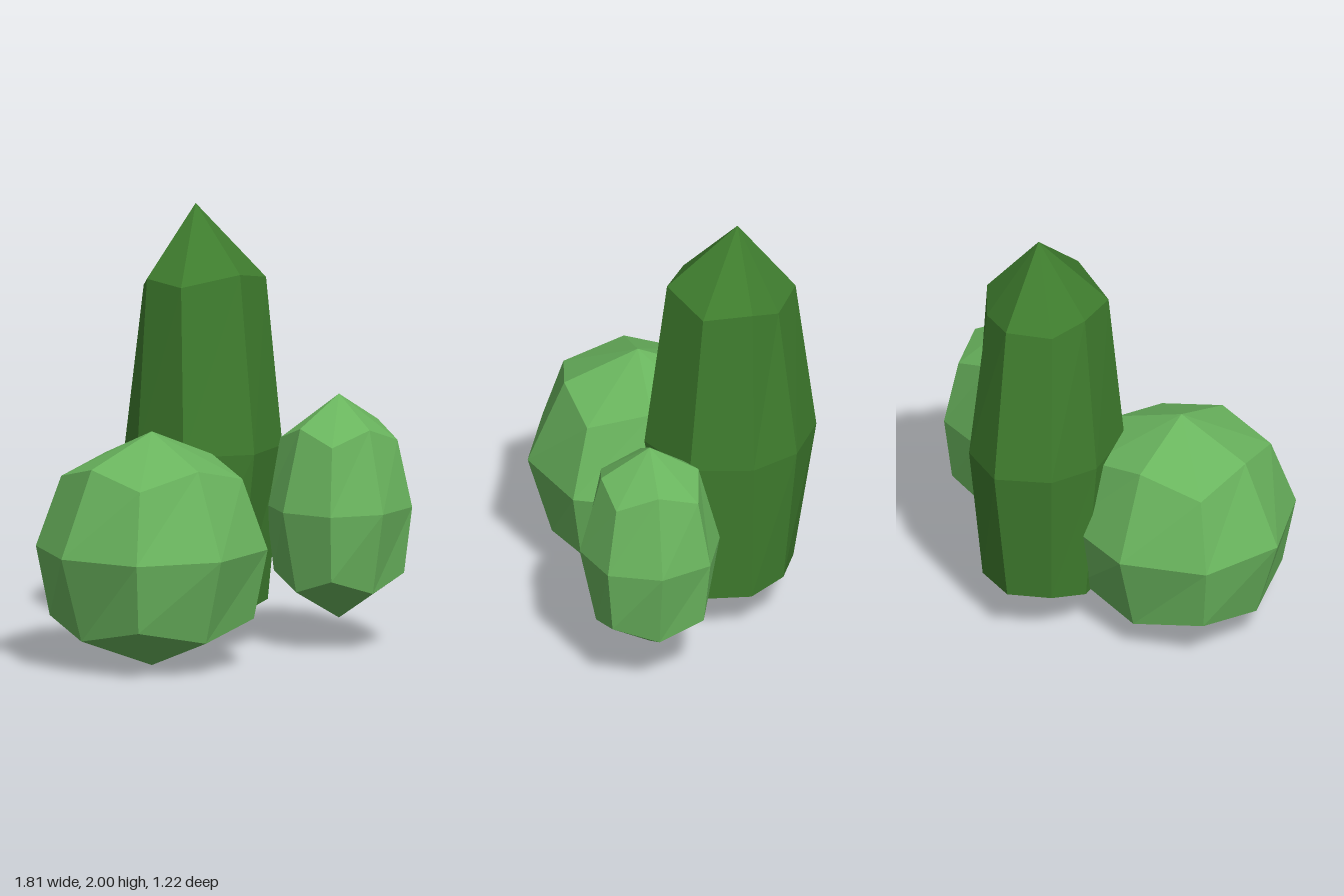
import * as THREE from 'three';

// Faceted body from three 8-point rings (bottom, middle, top) closed by two tips.
// Each ring starts at the front middle and runs towards +x.
function facetedBody(rings, bottomTip, topTip) {
  const pos = [];
  const quad = (a, b, c, d) => {
    for (const p of [a, b, c, a, c, d]) pos.push(...p);
  };
  for (let r = 0; r < 2; r++) {
    for (let i = 0; i < 8; i++) {
      const n = (i + 1) % 8;
      quad(rings[r][i], rings[r][n], rings[r + 1][n], rings[r + 1][i]);
    }
  }
  const [low, , high] = rings;
  for (let i = 1; i < 8; i += 2) {
    const n = (i + 1) % 8;
    quad(topTip, high[i - 1], high[i], high[n]);
    quad(bottomTip, low[n], low[i], low[i - 1]);
  }
  const geometry = new THREE.BufferGeometry();
  geometry.setAttribute('position', new THREE.Float32BufferAttribute(pos, 3));
  geometry.computeVertexNormals();
  return geometry;
}

// Five points from front middle to back middle, mirrored to a full ring
const mirrorRing = (half) => [
  ...half,
  ...[3, 2, 1].map((i) => [-half[i][0], half[i][1], half[i][2]]),
];

// Ring that is the same on all four sides: middle radius/height, corner offset/height
const evenRing = ([m, my, c, cy], depth) => mirrorRing([
  [0, my, m * depth], [c, cy, c * depth], [m, my, 0], [c, cy, -c * depth], [0, my, -m * depth],
]);

export function createModel() {
  const group = new THREE.Group();
  const lightGreen = new THREE.MeshStandardMaterial({ color: 0x6ab55e, flatShading: true });
  lightGreen.name = 'light green';
  const darkGreen = new THREE.MeshStandardMaterial({ color: 0x3f7d2e, flatShading: true });
  darkGreen.name = 'dark green';

  const add = (name, geometry, material, x, z) => {
    const mesh = new THREE.Mesh(geometry, material);
    mesh.name = name;
    mesh.position.set(x, 0, z);
    group.add(mesh);
  };

  // Wide round bush
  add('roundBush', facetedBody([
    [0.403, 0.15, 0.33, 0.22],
    [0.517, 0.535, 0.375, 0.535],
    [0.345, 0.925, 0.293, 0.855],
  ].map((r) => evenRing(r, 0.973)), [0, 0, 0], [0, 1.065, 0]), lightGreen, -0.39, 0.105);

  // Small egg-shaped bush
  add('smallBush', facetedBody([
    [0.245, 0.27, 0.208, 0.34],
    [0.32, 0.64, 0.234, 0.64],
    [0.222, 1.012, 0.187, 0.945],
  ].map((r) => evenRing(r, 1)), [0, 0.13, 0], [0, 1.15, 0]), lightGreen, 0.582, 0.23);

  // Tall pointed bush, broader at the front than at the back
  add('tallBush', facetedBody([
    [[0, 0.165, 0.315], [0.243, 0.2, 0.215], [0.265, 0.2, -0.015], [0.185, 0.238, -0.175], [0, 0.235, -0.255]],
    [[0, 0.91, 0.425], [0.283, 0.905, 0.27], [0.322, 0.9, -0.015], [0.222, 0.905, -0.23], [0, 0.915, -0.36]],
    [[0, 1.715, 0.322], [0.243, 1.665, 0.202], [0.263, 1.68, -0.02], [0.175, 1.625, -0.155], [0, 1.655, -0.265]],
  ].map(mirrorRing), [0, 0.115, 0], [0, 2, 0]), darkGreen, 0.143, -0.252);

  return group;
}
